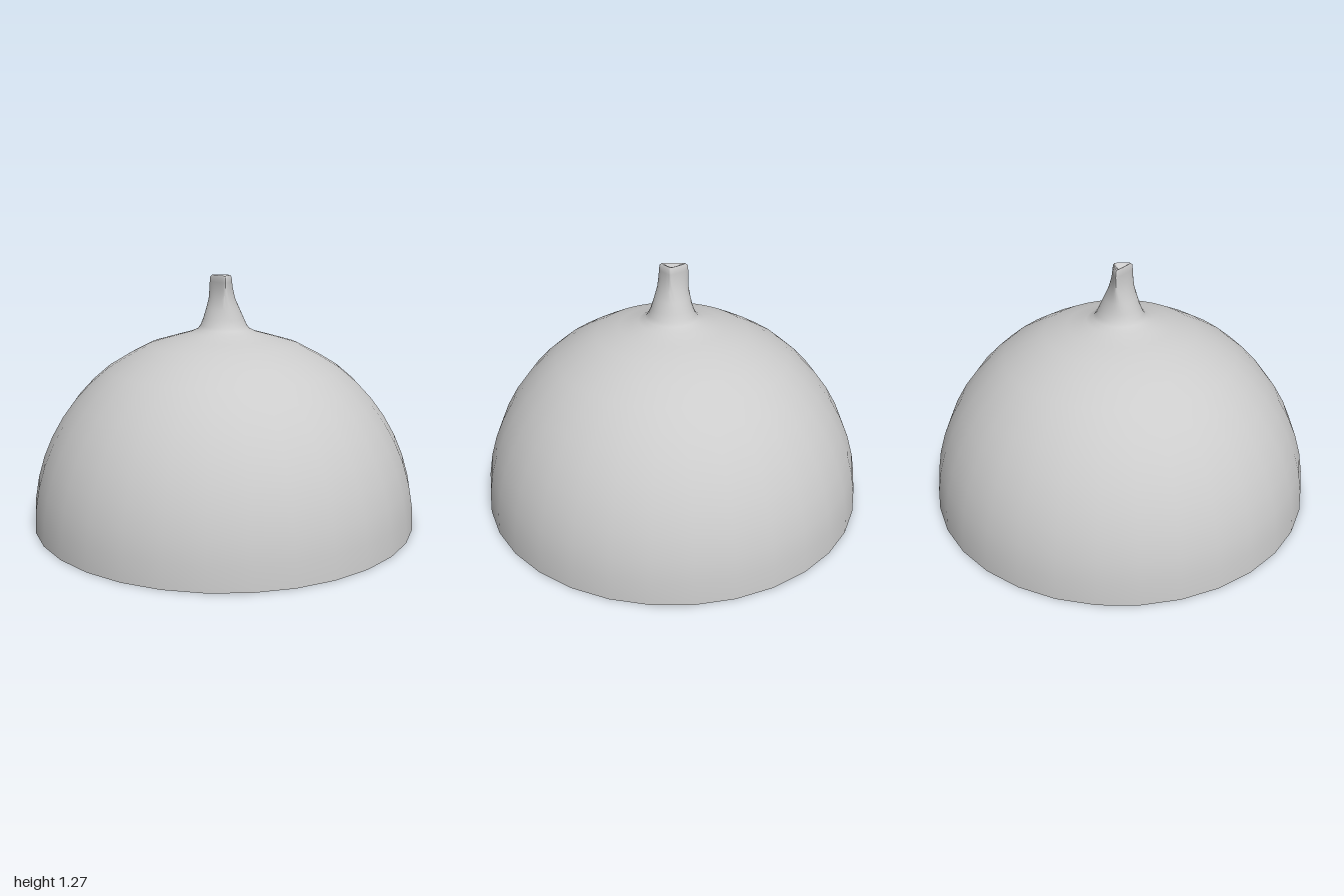
import * as THREE from 'three';
import { mergeVertices, toCreasedNormals } from 'three/addons/utils/BufferGeometryUtils.js';

const SIDES = 32;

export function createModel() {
  const group = new THREE.Group();
  const material = new THREE.MeshStandardMaterial({ color: 0xcccccc });
  const add = (name, geometry, mat = material) => {
    const mesh = new THREE.Mesh(geometry, mat);
    mesh.name = name;
    group.add(mesh);
    return mesh;
  };

  // Profile: round dome, soft shoulder, tapering stem with a sunken tip
  const profile = [];
  for (let i = 0; i <= 8; i++) {
    const a = (i / 8) * 0.927;
    profile.push(new THREE.Vector2(Math.cos(a), Math.sin(a)));
  }
  const upper = [
    [0.5, 0.86], [0.39, 0.917], [0.27, 0.952], [0.17, 0.98], [0.135, 0.997], [0.12, 1.015],
    [0.105, 1.05], [0.085, 1.1], [0.066, 1.15], [0.056, 1.2], [0.052, 1.235], [0.05, 1.26],
    [0.042, 1.27], [0.032, 1.268], [0.022, 1.253], [0, 1.25],
  ];
  upper.forEach(([r, y]) => profile.push(new THREE.Vector2(r, y)));
  const lathe = new THREE.LatheGeometry(profile, SIDES);

  // Pinch the stem from a round foot to a rounded triangular tip
  const tip = new THREE.CatmullRomCurve3([
    new THREE.Vector3(0, 0, 0.07),
    new THREE.Vector3(0.042, 0, -0.015),
    new THREE.Vector3(-0.064, 0, -0.055),
  ], true, 'catmullrom', 0.25);
  const pos = lathe.attributes.position;
  for (let i = 0; i < pos.count; i++) {
    const p = new THREE.Vector3().fromBufferAttribute(pos, i);
    const blend = THREE.MathUtils.smoothstep(p.y, 1.03, 1.26);
    if (blend === 0) continue;
    const r = profile[i % profile.length].x;
    const u = (Math.floor(i / profile.length) / SIDES) % 1;
    const target = tip.getPoint(u).sub(new THREE.Vector3(-0.008, 0, 0)).multiplyScalar(r / 0.05);
    target.x -= 0.008;
    pos.setXYZ(i, THREE.MathUtils.lerp(p.x, target.x, blend), p.y, THREE.MathUtils.lerp(p.z, target.z, blend));
  }
  lathe.deleteAttribute('normal');
  lathe.deleteAttribute('uv');
  add('domeAndStem', toCreasedNormals(mergeVertices(lathe, 1e-4), 0.9));

  // Flat underside: a rim around a slightly off-centre, very shallow recess
  const inset = { x: 0.05, z: -0.05, r: 0.905, depth: 0.01 };
  const rim = new THREE.Shape().absarc(0, 0, 1, 0, Math.PI * 2);
  rim.holes.push(new THREE.Path().absarc(inset.x, inset.z, inset.r, 0, Math.PI * 2, true));
  add('baseRim', new THREE.ShapeGeometry(rim, SIDES / 2).rotateX(Math.PI / 2));

  const floor = add('baseRecess', new THREE.CircleGeometry(inset.r, SIDES).rotateX(Math.PI / 2));
  floor.position.set(inset.x, inset.depth, inset.z);

  const wallMaterial = new THREE.MeshStandardMaterial({ color: 0xcccccc, side: THREE.DoubleSide });
  const wall = add('recessWall', new THREE.CylinderGeometry(inset.r, inset.r, inset.depth, SIDES, 1, true), wallMaterial);
  wall.position.set(inset.x, inset.depth / 2, inset.z);

  return group;
}
